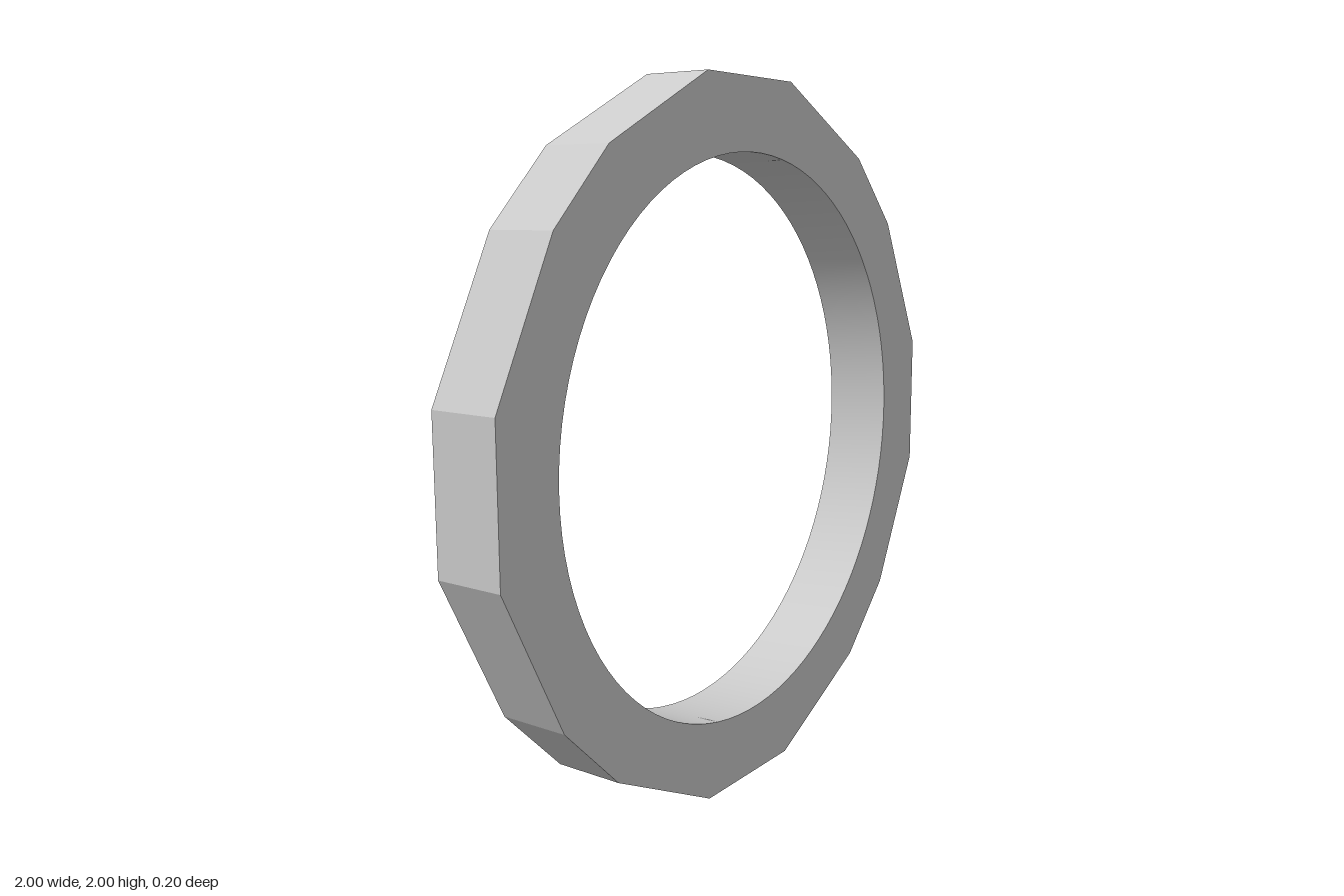
import * as THREE from 'three';
import { toCreasedNormals } from 'three/addons/utils/BufferGeometryUtils.js';

const DEPTH = 0.2;
const HOLE_RADIUS = 0.8;

export function createModel() {
  const group = new THREE.Group();
  group.name = 'ring';

  // Faceted outer rim: one quarter of the corners, turned four times
  const quarter = [[1, 0.2], [0.8, 0.6], [0.6, 0.8], [0.2, 1]];
  const corners = [];
  for (let i = 0; i < 4; i++) {
    for (const [x, y] of quarter) {
      corners.push(new THREE.Vector2(x, y).rotateAround(new THREE.Vector2(), i * Math.PI / 2));
    }
  }
  const outline = new THREE.Shape(corners);

  // Round opening
  outline.holes.push(new THREE.Path().absarc(0, 0, HOLE_RADIUS, 0, Math.PI * 2, true));

  const extruded = new THREE.ExtrudeGeometry(outline, {
    depth: DEPTH, bevelEnabled: false, curveSegments: 48,
  });
  extruded.translate(0, 1, -DEPTH / 2);

  // Smooth bore, sharp rim facets
  const geometry = toCreasedNormals(extruded, 0.2);
  const ring = new THREE.Mesh(geometry, new THREE.MeshStandardMaterial({ color: 0xcccccc }));
  ring.name = 'facetedRing';
  group.add(ring);
  return group;
}
